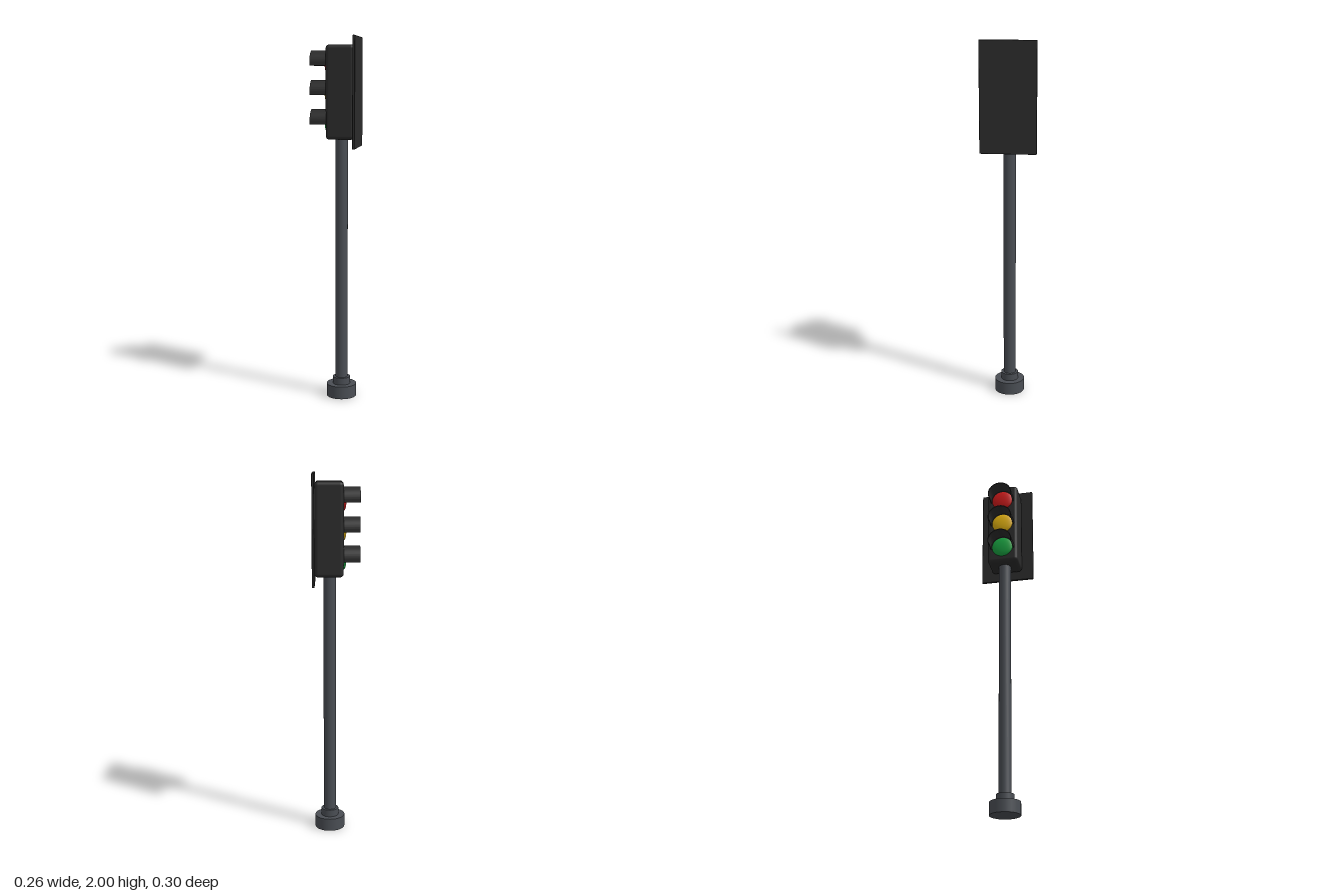
import * as THREE from 'three';
import { toCreasedNormals } from 'three/addons/utils/BufferGeometryUtils.js';
import { RoundedBoxGeometry } from 'three/addons/geometries/RoundedBoxGeometry.js';

export function createModel() {
  const model = new THREE.Group();
  model.name = 'trafficLight';
  const mat = (color) => new THREE.MeshStandardMaterial({ color });
  const dark = mat(0x2b2b2b);
  const steel = mat(0x4a4e54);
  const poleX = 0.035;

  const add = (name, geometry, material, x, y, z = 0, parent = model) => {
    const mesh = new THREE.Mesh(geometry, material);
    mesh.name = name;
    mesh.position.set(x, y, z);
    parent.add(mesh);
    return mesh;
  };

  // Foot, collar and pole
  const post = (name, r, y0, y1) =>
    add(name, new THREE.CylinderGeometry(r, r, y1 - y0, 32), steel, poleX, (y0 + y1) / 2);
  post('base', 0.083, 0, 0.07);
  post('collar', 0.048, 0.07, 0.11);
  post('pole', 0.034, 0.11, 1.465);

  // Signal housing and the wide plate behind it
  add('housing', new RoundedBoxGeometry(0.156, 0.505, 0.176, 5, 0.02), dark, 0.037, 1.702);
  add('backPlate', new RoundedBoxGeometry(0.014, 0.596, 0.304, 2, 0.003), dark, 0.121, 1.702);

  // Visor: a thin arc, slightly more than a half circle, extruded towards -x
  const droop = 0.18;
  const arc = new THREE.Shape();
  arc.absarc(0, 0, 0.068, -droop, Math.PI + droop, false);
  arc.absarc(0, 0, 0.064, Math.PI + droop, -droop, true);
  arc.closePath();
  const visorGeometry = toCreasedNormals(
    new THREE.ExtrudeGeometry(arc, { depth: 0.1, bevelEnabled: false, curveSegments: 32 })
      .rotateY(-Math.PI / 2), 0.6);

  // Lens: a shallow dome facing -x
  const lensGeometry = new THREE.SphereGeometry(0.06, 32, 12, 0, Math.PI * 2, 0, Math.PI / 2)
    .rotateZ(Math.PI / 2).scale(0.27, 1, 1);

  // Three lamps, top to bottom
  [['red', 0xcc1a1a], ['amber', 0xe0b010], ['green', 0x18a040]].forEach(([name, color], i) => {
    const lamp = new THREE.Group();
    lamp.name = name + 'Lamp';
    lamp.position.set(-0.041, 1.857 - i * 0.157, 0);
    model.add(lamp);
    add(name + 'Lens', lensGeometry, mat(color), 0.001, 0, 0, lamp);
    add(name + 'Visor', visorGeometry, dark, 0.011, 0, 0, lamp);
  });

  return model;
}
